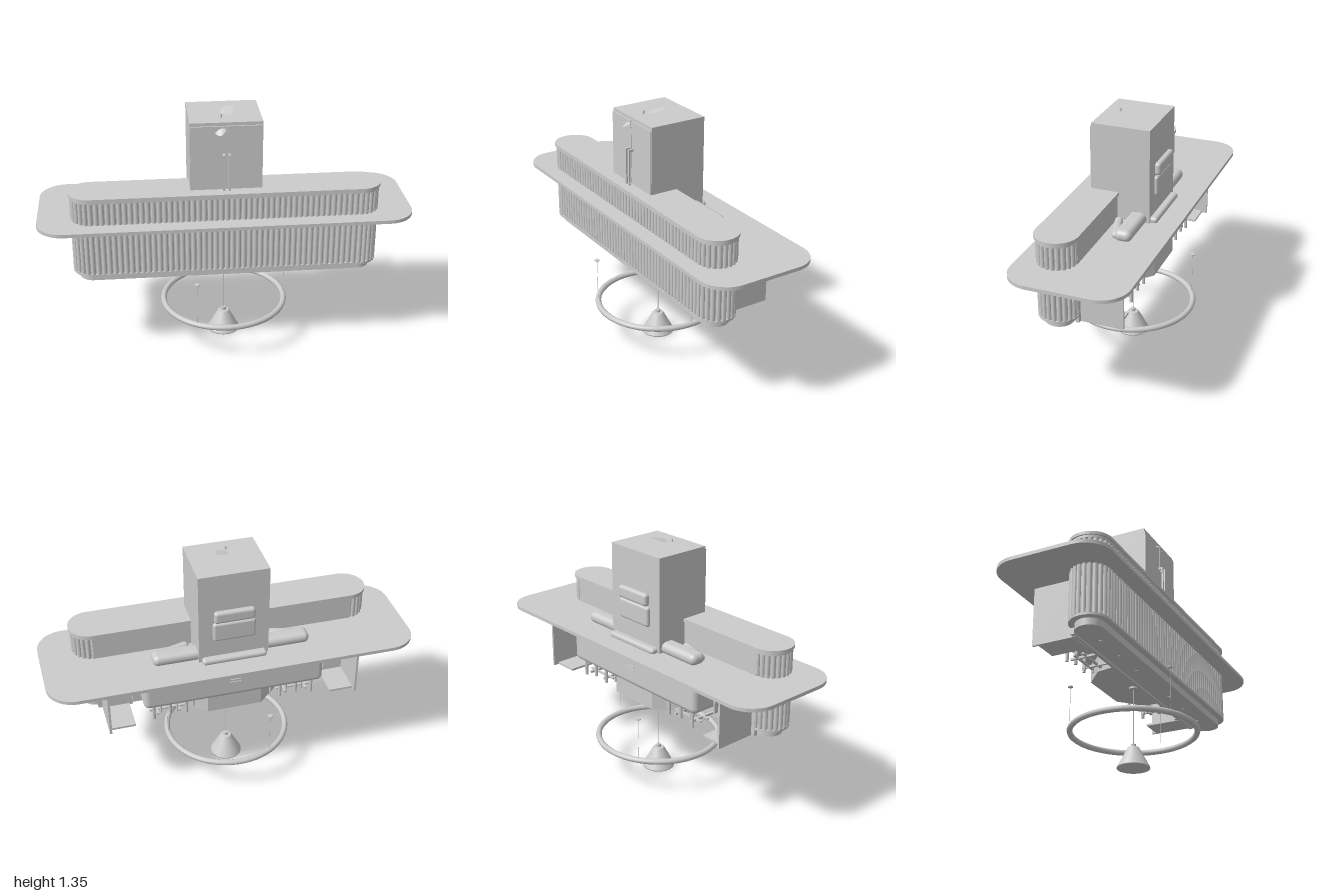
import * as THREE from 'three';
import { mergeGeometries } from 'three/addons/utils/BufferGeometryUtils.js';
import { RoundedBoxGeometry } from 'three/addons/geometries/RoundedBoxGeometry.js';

export function createModel() {
  const grey = new THREE.MeshStandardMaterial({ color: 0xcccccc, side: THREE.DoubleSide });
  grey.name = 'plain grey';
  const model = new THREE.Group();

  const add = (name, geometry, x = 0, y = 0, z = 0) => {
    const mesh = new THREE.Mesh(geometry, grey);
    mesh.name = name;
    mesh.position.set(x, y, z);
    model.add(mesh);
    return mesh;
  };
  // Box given by its limits on each axis
  const box = (name, x0, x1, y0, y1, z0, z1) =>
    add(name, new THREE.BoxGeometry(x1 - x0, y1 - y0, z1 - z0), (x0 + x1) / 2, (y0 + y1) / 2, (z0 + z1) / 2);
  const softBox = (name, x0, x1, y0, y1, z0, z1, r) =>
    add(name, new RoundedBoxGeometry(x1 - x0, y1 - y0, z1 - z0, 4, r), (x0 + x1) / 2, (y0 + y1) / 2, (z0 + z1) / 2);
  const rod = (name, r, x, y0, y1, z, sides = 12) =>
    add(name, new THREE.CylinderGeometry(r, r, y1 - y0, sides), x, (y0 + y1) / 2, z);
  // Horizontal plate with rounded corners
  const plate = (name, w, d, r, y0, y1, z = 0) => {
    const a = w / 2 - r, b = d / 2 - r, s = new THREE.Shape();
    s.absarc(a, b, r, 0, Math.PI / 2);
    s.absarc(-a, b, r, Math.PI / 2, Math.PI);
    s.absarc(-a, -b, r, Math.PI, Math.PI * 1.5);
    s.absarc(a, -b, r, Math.PI * 1.5, Math.PI * 2);
    const g = new THREE.ExtrudeGeometry(s, { depth: y1 - y0, bevelEnabled: false, curveSegments: 20 });
    return add(name, g.rotateX(-Math.PI / 2), 0, y0, z);
  };

  // Table slab
  plate('tableTop', 2, 0.63, 0.15, 0.778, 0.797);

  // Fluted counter with rounded ends
  const cz = 0.122, half = 0.715;
  plate('counterTop', 1.66, 0.23, 0.1149, 0.933, 0.95, cz);
  plate('counterTopRim', 1.645, 0.214, 0.1069, 0.92, 0.933, cz);
  plate('counterCore', 1.62, 0.19, 0.0949, 0.5, 0.925, cz);
  plate('counterFoot', 1.645, 0.214, 0.1069, 0.495, 0.507, cz);
  plate('counterPlinth', 1.58, 0.15, 0.0749, 0.457, 0.5, cz);
  box('counterBack', -0.72, 0.72, 0.46, 0.925, 0.015, 0.035);

  // Slats along the front and around both ends
  const slats = [];
  const slat = (x, z, turn) => {
    const g = new THREE.CylinderGeometry(0.0125, 0.0125, 0.415, 8);
    g.scale(1, 1, 0.9).rotateY(turn).translate(x, 0.714, z);
    slats.push(g);
  };
  const count = 48;
  for (let i = 0; i <= count; i++) slat(-half + (2 * half * i) / count, cz + 0.097, 0);
  for (const side of [-1, 1]) {
    for (let i = 1; i <= 11; i++) {
      const a = (Math.PI * i) / 11;
      slat(side * (half + 0.097 * Math.sin(a)), cz + 0.097 * Math.cos(a), side * a);
    }
  }
  add('counterSlats', mergeGeometries(slats));

  // Tall cabinet with two doors and handles
  box('cabinet', -0.19, 0.19, 0.797, 1.318, -0.163, 0.158);
  for (const s of [-1, 1]) {
    box('cabinetDoor', s < 0 ? -0.188 : 0.002, s < 0 ? -0.002 : 0.188, 0.81, 1.3, 0.158, 0.166);
    box('doorHandle', s * 0.015 - 0.006, s * 0.015 + 0.006, 0.85, 1.15, 0.184, 0.193);
    box('handleBracket', s * 0.015 - 0.006, s * 0.015 + 0.006, 1.138, 1.15, 0.164, 0.186);
  }

  // Small leaves with pins: one on the cabinet top, one on its front
  const leaf = (name, pts) => {
    const [a, b, c, d] = pts.map((p) => new THREE.Vector3(...p));
    const left = new THREE.QuadraticBezierCurve3(a, b, d), right = new THREE.QuadraticBezierCurve3(a, c, d);
    const pos = [], index = [], n = 8;
    for (let i = 0; i <= n; i++) {
      for (const p of [left.getPoint(i / n), right.getPoint(i / n)]) pos.push(p.x, p.y, p.z);
      if (i < n) index.push(2 * i, 2 * i + 1, 2 * i + 2, 2 * i + 1, 2 * i + 3, 2 * i + 2);
    }
    const g = new THREE.BufferGeometry();
    g.setAttribute('position', new THREE.Float32BufferAttribute(pos, 3));
    g.setIndex(index);
    g.computeVertexNormals();
    add(name, g);
  };
  leaf('topLeaf', [[-0.025, 1.325, 0.03], [0, 1.348, -0.04], [0.04, 1.318, 0.12], [0.055, 1.346, -0.01]]);
  leaf('frontLeaf', [[-0.06, 1.265, 0.168], [-0.03, 1.3, 0.165], [-0.03, 1.25, 0.23], [0, 1.285, 0.168]]);
  rod('topPin', 0.005, -0.02, 1.315, 1.335, 0.078);
  rod('frontPin', 0.004, 0.012, 1.265, 1.273, 0.175);

  // Cushions behind the cabinet
  softBox('upperBackCushion', -0.11, 0.11, 1.04, 1.108, -0.192, -0.155, 0.016);
  softBox('lowerBackCushion', -0.115, 0.115, 0.925, 1.035, -0.182, -0.15, 0.014);
  softBox('seatCushion', -0.175, 0.175, 0.79, 0.825, -0.2, -0.12, 0.016);

  // Bolsters and slanted pillows on both sides
  for (const s of [-1, 1]) {
    const x0 = s < 0 ? -0.43 : 0.15;
    softBox('sideBolster', x0, x0 + 0.28, 0.79, 0.853, -0.147, -0.055, 0.03);
    const pillow = softBox('sidePillow', -0.1, 0.1, 0, 0.04, -0.022, 0.022, 0.019);
    pillow.position.set(s * 0.31, 0.808, -0.032);
    pillow.rotation.y = s * 0.28;
  }

  // Under-table body with a small pull
  softBox('lowerBody', -0.5, 0.5, 0.56, 0.785, -0.2, 0.03, 0.03);
  for (const y of [0.655, 0.672]) box('bodyPull', -0.03, 0.03, y, y + 0.005, -0.205, -0.199);

  // Side compartments
  for (const s of [-1, 1]) {
    const span = (name, a, b, ...rest) => box(name, Math.min(s * a, s * b), Math.max(s * a, s * b), ...rest);
    span('sidePanel', 0.685, 0.697, 0.457, 0.78, -0.215, 0.025);
    span('compartmentWall', 0.53, 0.69, 0.46, 0.78, 0, 0.02);
    span('compartmentInnerPanel', 0.535, 0.545, 0.56, 0.78, -0.1, 0.02);
    span('compartmentFloor', 0.55, 0.69, 0.457, 0.469, -0.185, 0.02);

    // Rails and pegs beneath the body
    for (const z of [-0.06, -0.11]) span('underRail', 0.26, 0.46, 0.48, 0.49, z - 0.006, z + 0.006);
    for (let i = 0; i < 6; i++) {
      rod('peg', i % 2 ? 0.009 : 0.006, s * (0.22 + i * 0.045), 0.485 - (i % 3) * 0.01, 0.565, i % 2 ? -0.16 : -0.13, 10);
    }
    for (const x of [0.3, 0.42]) span('railArm', x - 0.006, x + 0.006, 0.478, 0.49, -0.15, 0.02);
  }

  // Central tapered block below
  const block = new THREE.Shape([[-0.28, -0.03], [0.28, -0.03], [0.26, 0.08], [0.15, 0.18], [-0.15, 0.18], [-0.26, 0.08]]
    .map((p) => new THREE.Vector2(...p)));
  add('centreBlock', new THREE.ExtrudeGeometry(block, { depth: 0.1, bevelEnabled: false }).rotateX(-Math.PI / 2), 0, 0.465, 0);

  // Spot fittings on the underside
  for (let i = -3; i <= 3; i++) if (i) rod('spotFitting', 0.009, i * 0.2, 0.453, 0.46, 0.12);

  // Hanging ring lamp on three wires
  const ring = new THREE.TorusGeometry(0.339, 0.016, 10, 72).rotateX(Math.PI / 2);
  add('ringLamp', ring, 0, 0.204, 0);
  for (let i = 0; i < 3; i++) {
    const a = (i * Math.PI * 2) / 3, x = 0.34 * Math.cos(a), z = 0.34 * Math.sin(a);
    rod('ringWire', 0.0012, x, 0.21, 0.453, z, 6);
    rod('ceilingDisc', 0.014, x, 0.451, 0.456, z, 16);
  }

  // Cone pendant on its cord
  const cone = [[0, 0.004], [0.084, 0.004], [0.088, 0], [0.088, 0.006], [0.032, 0.112], [0.028, 0.116], [0, 0.116]];
  add('pendantShade', new THREE.LatheGeometry(cone.map((p) => new THREE.Vector2(...p)), 40));
  rod('pendantCap', 0.013, 0, 0.114, 0.133, 0, 20);
  rod('pendantCord', 0.002, 0, 0.13, 0.455, 0, 6);
  rod('pendantDisc', 0.024, 0, 0.448, 0.458, 0, 20);

  return model;
}
